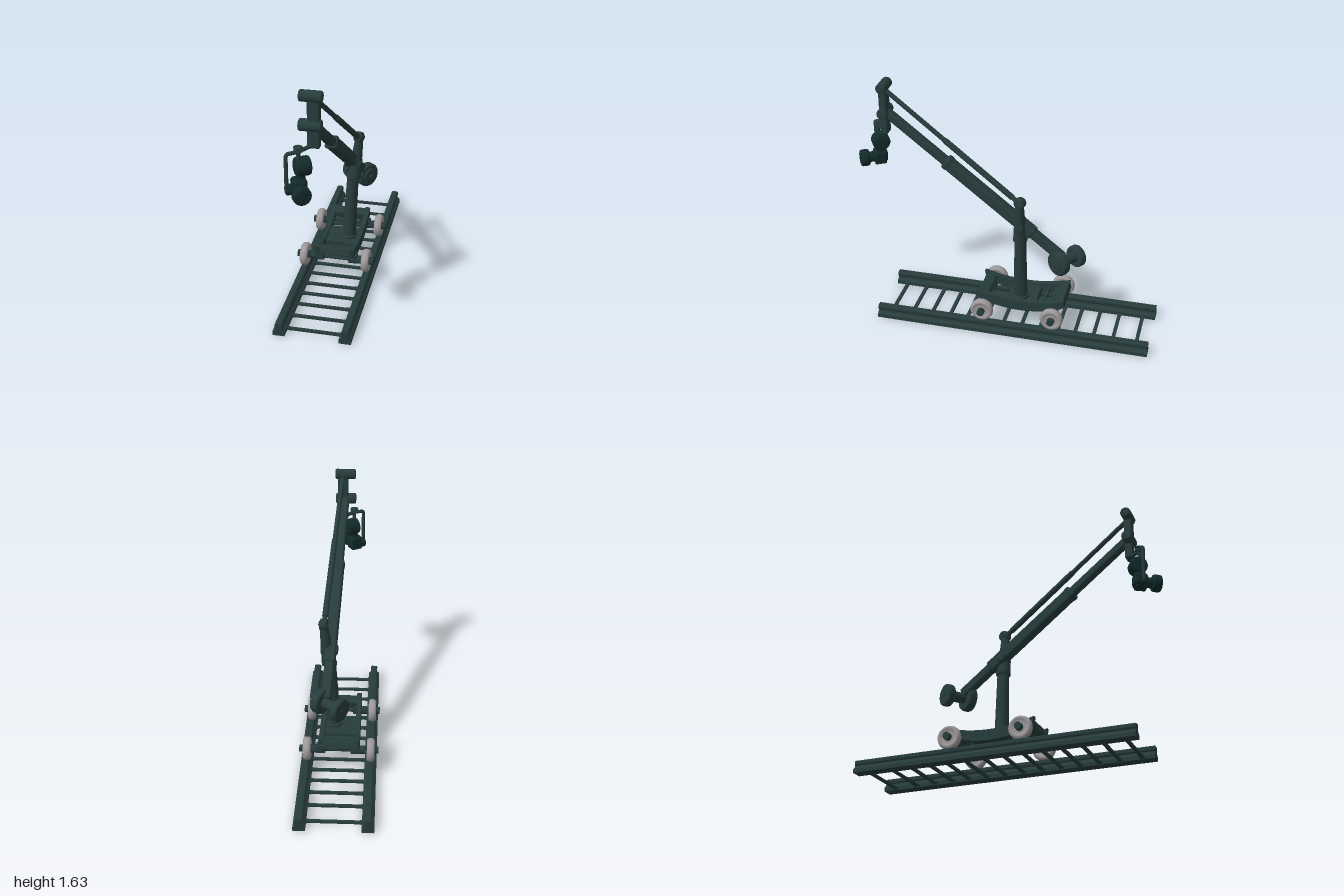
import * as THREE from 'three';
import { RoundedBoxGeometry } from 'three/addons/geometries/RoundedBoxGeometry.js';

const V = (x, y, z) => new THREE.Vector3(x, y, z);

export function createModel() {
  const root = new THREE.Group();
  const mat = (name, color) => Object.assign(new THREE.MeshStandardMaterial({ color }), { name });
  const steel = mat('dark green steel', 0x273c3c);
  const black = mat('camera black green', 0x122b2a);
  const grey = mat('wheel grey', 0x9d989a);

  const add = (name, geo, m = steel, parent = root) => {
    const mesh = new THREE.Mesh(geo, m);
    mesh.name = name;
    parent.add(mesh);
    return mesh;
  };
  // Rounded block placed by its centre
  const block = (name, size, pos, m = steel, r = 0.008) => {
    const mesh = add(name, new RoundedBoxGeometry(...size, 2, Math.min(r, ...size.map(s => s * 0.45))), m);
    mesh.position.set(...pos);
    return mesh;
  };
  // Rectangular beam from a to b
  const beam = (name, a, b, w, h, m = steel) => {
    const mesh = block(name, [w, h, a.distanceTo(b)], a.clone().lerp(b, 0.5).toArray(), m, 0.015);
    mesh.lookAt(b);
    return mesh;
  };
  // Round bar from a to b, radius ra at a and rb at b
  const rod = (name, a, b, ra, rb = ra, m = steel, sides = 20) => {
    const mesh = add(name, new THREE.CylinderGeometry(rb, ra, a.distanceTo(b), sides), m);
    mesh.position.copy(a).lerp(b, 0.5);
    mesh.quaternion.setFromUnitVectors(V(0, 1, 0), b.clone().sub(a).normalize());
    return mesh;
  };
  // Disc with rounded rims, centred at c along an axis
  const drum = (name, c, axis, r, len, m = steel) => {
    const h = len / 2, e = Math.min(h * 0.5, r * 0.25);
    const pts = [[0, -h], [r - e, -h], [r - e * 0.3, -h + e * 0.3], [r, -h + e],
      [r, h - e], [r - e * 0.3, h - e * 0.3], [r - e, h], [0, h]];
    const mesh = add(name, new THREE.LatheGeometry(pts.map(p => new THREE.Vector2(...p)), 28), m);
    mesh.position.copy(c);
    mesh.quaternion.setFromUnitVectors(V(0, 1, 0), axis.clone().normalize());
    return mesh;
  };

  // Track rails: wide foot, narrow head
  const half = [[0.038, 0], [0.038, 0.025], [0.022, 0.038], [0.017, 0.05], [0.023, 0.06], [0.023, 0.078], [0.016, 0.085]];
  const section = new THREE.Shape([...half, ...half.map(([x, y]) => [-x, y]).reverse()].map(p => new THREE.Vector2(...p)));
  for (const x of [-0.21, 0.205]) {
    add('rail', new THREE.ExtrudeGeometry(section, { depth: 1.82, bevelEnabled: false })).position.set(x, 0, -1);
  }

  // Track ties: flat bars flaring where they meet the rails
  const tie = new THREE.Shape();
  tie.moveTo(-0.185, -0.024);
  tie.quadraticCurveTo(-0.165, -0.011, -0.14, -0.011);
  tie.lineTo(0.14, -0.011);
  tie.quadraticCurveTo(0.165, -0.011, 0.185, -0.024);
  tie.lineTo(0.185, 0.024);
  tie.quadraticCurveTo(0.165, 0.011, 0.14, 0.011);
  tie.lineTo(-0.14, 0.011);
  tie.quadraticCurveTo(-0.165, 0.011, -0.185, 0.024);
  const tieGeo = new THREE.ExtrudeGeometry(tie, { depth: 0.013, bevelEnabled: false, curveSegments: 5 }).rotateX(-Math.PI / 2);
  for (const z of [-0.915, -0.76, -0.63, -0.505, -0.39, -0.27, -0.145, -0.02, 0.105, 0.23, 0.35, 0.475, 0.605, 0.745]) {
    add('trackTie', tieGeo).position.set(-0.003, 0.004, z);
  }

  // Dolly frame: sagging side beams joined by cross bars
  const side = new THREE.Shape();
  side.moveTo(-0.29, 0.25);
  side.quadraticCurveTo(0, 0.16, 0.29, 0.25);
  side.lineTo(0.28, 0.195);
  side.quadraticCurveTo(0, 0.085, -0.28, 0.195);
  const sideGeo = new THREE.ExtrudeGeometry(side, { depth: 0.028, bevelThickness: 0.003, bevelSize: 0.004, bevelSegments: 2, curveSegments: 14 });
  sideGeo.rotateY(-Math.PI / 2);
  for (const x of [-0.108, 0.122]) add('frameSideBeam', sideGeo).position.set(x, 0, -0.13);
  for (const [z, s] of [[0.118, 1], [-0.392, -1]]) {
    const bar = block('frameCrossBar', [0.255, 0.055, 0.07], [-0.007, 0.216, z]);
    bar.rotation.x = -s * 0.25;
  }
  block('platform', [0.215, 0.05, 0.2], [-0.005, 0.17, -0.135]);
  for (const z of [-0.28, -0.335]) block('deckBar', [0.21, 0.025, 0.025], [-0.007, 0.185, z]);

  // Axles, sleeves and wheels
  const wheelProfile = [[0.022, -0.02], [0.036, -0.012], [0.052, -0.024], [0.064, -0.025], [0.072, -0.018],
    [0.076, -0.006], [0.076, 0.006], [0.072, 0.018], [0.064, 0.025], [0.052, 0.024], [0.036, 0.012], [0.022, 0.02]];
  const wheelGeo = new THREE.LatheGeometry(wheelProfile.map(p => new THREE.Vector2(...p)), 32).rotateZ(Math.PI / 2);
  for (const z of [0.105, -0.362]) {
    rod('axle', V(-0.17, 0.157, z), V(0.165, 0.157, z), 0.014);
    for (const s of [-1, 1]) {
      const x = s < 0 ? -0.211 : 0.198;
      add('wheel', wheelGeo, grey).position.set(x, 0.157, z);
      rod('wheelHub', V(x - s * 0.03, 0.157, z), V(x + s * 0.05, 0.157, z), 0.026, 0.024, steel, 10);
      rod('axleSleeve', V(s * 0.09, 0.157, z), V(s * 0.175, 0.157, z), 0.027);
      block('axleMount', [0.06, 0.06, 0.05], [s * 0.11, 0.165, z]);
    }
  }

  // Column, with the upper arm support beside the boom
  rod('column', V(0.034, 0.14, -0.12), V(0.062, 0.66, -0.12), 0.046, 0.038);
  drum('columnFoot', V(0.035, 0.2, -0.12), V(0, 1, 0), 0.055, 0.03);
  drum('columnCollar', V(0.062, 0.655, -0.122), V(0, 1, 0), 0.045, 0.03);
  rod('upperSupport', V(0.07, 0.65, -0.12), V(0.1, 0.92, -0.122), 0.045, 0.027);
  drum('boomPivot', V(0.065, 0.755, -0.12), V(1, 0, 0), 0.032, 0.11);
  drum('rodPivot', V(0.1, 0.937, -0.125), V(1, 0, 0.2), 0.036, 0.05);
  rod('pivotPin', V(0.065, 0.925, -0.125), V(0.132, 0.945, -0.125), 0.014);

  // Telescoping boom
  const tip = V(0.005, 1.43, 0.77), tail = V(0.07, 0.575, -0.38);
  const along = t => tip.clone().lerp(tail, t);
  beam('boomFront', tip, along(0.45), 0.058, 0.055);
  beam('boomMain', along(0.345), along(0.85), 0.072, 0.077);
  beam('boomRear', along(0.8), along(1.02), 0.062, 0.06);
  beam('boomCollar', along(0.34), along(0.37), 0.078, 0.083);

  // Counterweights on a slanted shaft
  const axis = V(0.8, 0, 0.58).normalize();
  const near = V(0.105, 0.535, -0.385), far = V(-0.015, 0.53, -0.475);
  rod('weightShaft', far.clone().addScaledVector(axis, -0.03), near.clone().addScaledVector(axis, 0.055), 0.014);
  rod('weightSleeve', far, near, 0.035);
  drum('counterweight', near, axis, 0.082, 0.06);
  drum('counterweightCap', near.clone().addScaledVector(axis, 0.033), axis, 0.05, 0.016);
  drum('counterweight', far, axis, 0.073, 0.05);

  // Head post and parallel tie rod
  block('headPost', [0.072, 0.33, 0.05], [0.018, 1.455, 0.77]);
  drum('headTopJoint', V(0.002, 1.6, 0.772), V(1, 0, 0), 0.034, 0.135);
  drum('headBoomJoint', V(-0.002, 1.425, 0.775), V(1, 0, 0), 0.036, 0.135);
  const rodTop = V(0.02, 1.59, 0.77), rodEnd = V(0.098, 0.935, -0.12);
  rod('tieRod', rodTop, rodEnd, 0.015);
  rod('tieRodSleeve', rodTop.clone().lerp(rodEnd, 0.45), rodTop.clone().lerp(rodEnd, 0.95), 0.019);

  // Hanging bracket with adjuster knob
  const path = new THREE.CurvePath();
  const corners = [V(0.005, 1.3, 0.775), V(-0.055, 1.292, 0.85), V(-0.11, 1.288, 0.887), V(-0.117, 1.275, 0.89), V(-0.117, 1.05, 0.885)];
  for (let i = 0; i < corners.length - 1; i++) path.add(new THREE.LineCurve3(corners[i], corners[i + 1]));
  add('hangingBracket', new THREE.TubeGeometry(path, 60, 0.012, 8));
  rod('knobStem', V(-0.055, 1.23, 0.85), V(-0.055, 1.32, 0.85), 0.012);
  for (const y of [1.318, 1.298]) drum('adjusterKnob', V(-0.055, y, 0.85), V(0, 1, 0), 0.027, 0.01);

  // Camera: motor, body and lens, turned to the left
  const aim = V(0.52, 0, 0.85).normalize();
  const across = V(0.85, 0, -0.52).normalize();
  drum('panMotor', V(-0.037, 1.195, 0.83), across, 0.057, 0.09, black);
  rod('motorNeck', V(-0.045, 1.16, 0.835), V(-0.05, 1.09, 0.84), 0.025, 0.03, black);
  const body = block('cameraBody', [0.085, 0.085, 0.09], [-0.055, 1.082, 0.845], black, 0.02);
  body.rotation.y = Math.atan2(aim.x, aim.z);
  rod('lensBarrel', V(-0.055, 1.075, 0.845), V(-0.015, 1.068, 0.94), 0.032, 0.036, black);
  drum('lensHood', V(-0.017, 1.066, 0.938), aim, 0.055, 0.06, black);
  drum('tiltMotor', V(-0.103, 1.06, 0.87), across, 0.033, 0.05, black);
  block('cameraBase', [0.075, 0.014, 0.075], [-0.06, 1.033, 0.85], black).rotation.y = body.rotation.y;

  return root;
}
